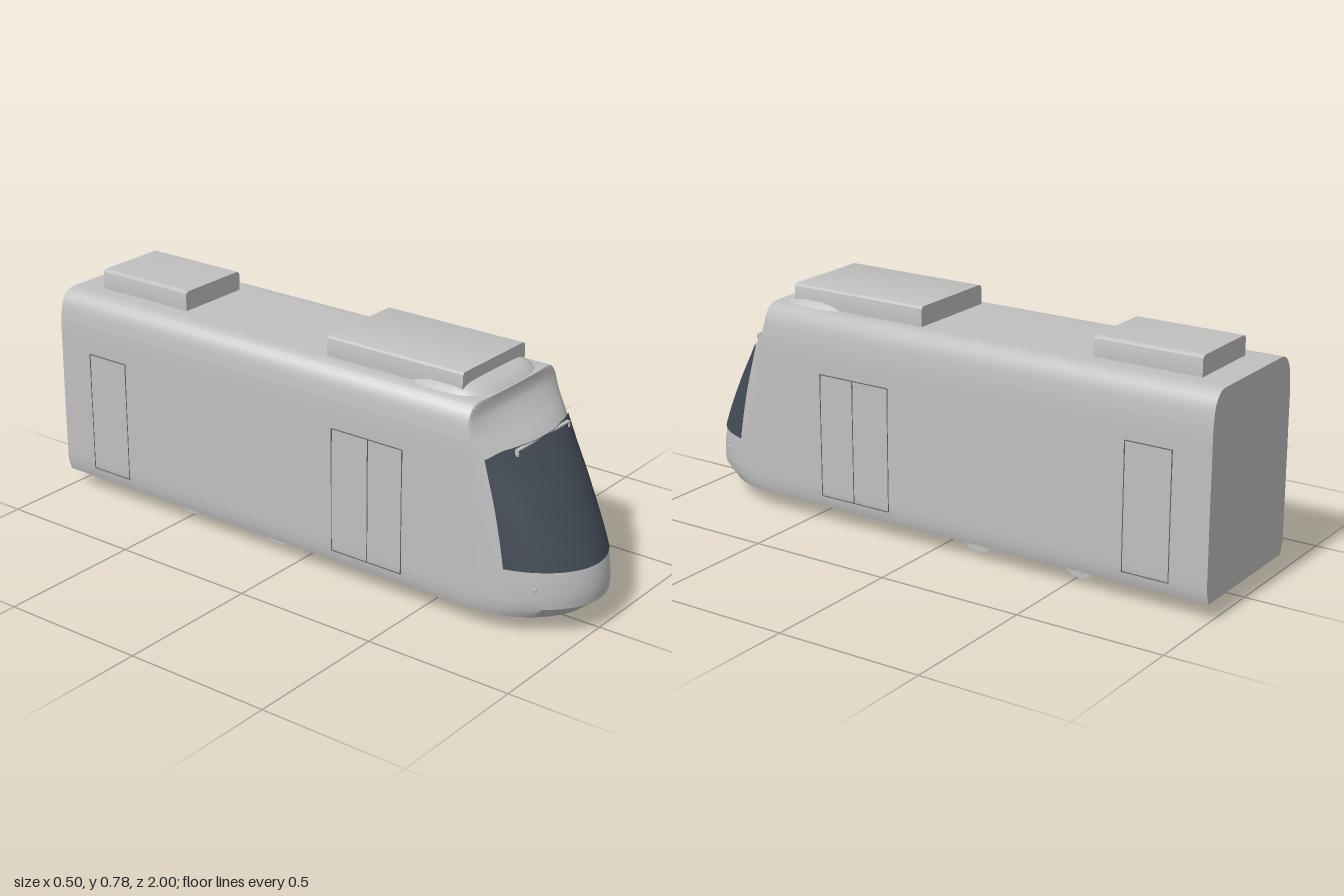
import * as THREE from 'three';
import { toCreasedNormals } from 'three/addons/utils/BufferGeometryUtils.js';

const paint = (name, color) => Object.assign(new THREE.MeshStandardMaterial({ color }), { name });

// Closed skin through horizontal rings, listed from bottom to top
function loft(rings, crease) {
  const n = rings[0].length, pos = rings.flat().flatMap(p => [p.x, p.y, p.z]), idx = [];
  for (let i = 0; i < rings.length - 1; i++)
    for (let j = 0; j < n; j++) {
      const k = (j + 1) % n, a = i * n + j, b = i * n + k;
      idx.push(a, a + n, b + n, a, b + n, b);
    }
  const last = (rings.length - 1) * n, centre = rings.length * n;
  for (const ring of [rings[0], rings.at(-1)]) {
    const c = ring.reduce((s, p) => s.add(p), new THREE.Vector3()).divideScalar(n);
    pos.push(c.x, c.y, c.z);
  }
  for (let j = 0; j < n; j++) {
    const k = (j + 1) % n;
    idx.push(centre, j, k, centre + 1, last + k, last + j);
  }
  const g = new THREE.BufferGeometry();
  g.setAttribute('position', new THREE.Float32BufferAttribute(pos, 3));
  g.setIndex(idx);
  return toCreasedNormals(g, crease);
}

// Half width, height and nose position of the shell
const profile = [
  new THREE.Vector3(0.235, 0.06, 0.95),
  ...new THREE.CatmullRomCurve3([
    [0.247, 0.1, 0.998], [0.248, 0.14, 1], [0.248, 0.22, 0.983], [0.248, 0.4, 0.895],
    [0.247, 0.5, 0.83], [0.247, 0.58, 0.769], [0.244, 0.63, 0.715], [0.235, 0.675, 0.677],
    [0.222, 0.697, 0.671], [0.205, 0.711, 0.67], [0.19, 0.716, 0.67],
  ].map(p => new THREE.Vector3(...p))).getPoints(40),
  new THREE.Vector3(0.17, 0.717, 0.655),
];
const NOSE_START = 0.66;

function section(y) {
  const i = Math.max(1, profile.findIndex(p => p.y >= y));
  const a = profile[i - 1], b = profile[i];
  return a.clone().lerp(b, (y - a.y) / (b.y - a.y));
}
function noseZ(x, y) {
  const s = section(y);
  return NOSE_START + (s.z - NOSE_START) * Math.sqrt(Math.max(0, 1 - (x / s.x) ** 2));
}

function shellGeometry() {
  const rings = profile.map(({ x: w, y, z }) => {
    const start = Math.min(NOSE_START, z - 0.005), ring = [new THREE.Vector3(w, y, -1)];
    for (let j = 0; j <= 48; j++) {
      const t = Math.PI * j / 48;
      ring.push(new THREE.Vector3(w * Math.cos(t), y, start + (z - start) * Math.sin(t)));
    }
    ring.push(new THREE.Vector3(-w, y, -1));
    return ring;
  });
  return loft(rings, 0.55);
}

// Curved sheet following the nose, with softly dropped upper corners
function windscreenGeometry() {
  const g = new THREE.PlaneGeometry(2, 1, 40, 24), p = g.attributes.position;
  for (let i = 0; i < p.count; i++) {
    const u = p.getX(i), x = u * 0.228;
    const top = 0.578 - 0.02 * (Math.max(0, Math.abs(x) - 0.16) / 0.068) ** 2;
    const bottom = 0.218 + 0.006 * u * u;
    const y = bottom + (top - bottom) * (p.getY(i) + 0.5);
    p.setXYZ(i, x, y, noseZ(x, y) + 0.006);
  }
  g.computeVertexNormals();
  return g;
}

// Roof box with rounded long edges
function podGeometry(halfWidth, length) {
  const h = 0.068, r = 0.016, s = new THREE.Shape();
  s.moveTo(-halfWidth, 0);
  s.lineTo(halfWidth, 0);
  s.lineTo(halfWidth, h - r);
  s.quadraticCurveTo(halfWidth, h, halfWidth - r, h);
  s.lineTo(-halfWidth + r, h);
  s.quadraticCurveTo(-halfWidth, h, -halfWidth, h - r);
  return toCreasedNormals(new THREE.ExtrudeGeometry(s, { depth: length, bevelEnabled: false, curveSegments: 8 }), 0.6);
}

// Low fairing swelling out of the roof
function fairingGeometry() {
  const layers = [[0.712, 0.19, 0.35, 0.668], [0.722, 0.183, 0.37, 0.66], [0.734, 0.17, 0.4, 0.635],
    [0.742, 0.155, 0.43, 0.61], [0.745, 0.135, 0.46, 0.585]];
  const pow = v => Math.sign(v) * Math.abs(v) ** 0.6;
  return loft(layers.map(([y, w, z0, z1]) => Array.from({ length: 48 }, (_, j) => {
    const t = Math.PI * 2 * j / 48;
    return new THREE.Vector3(w * pow(Math.cos(t)), y, (z0 + z1) / 2 + (z1 - z0) / 2 * pow(Math.sin(t)));
  })), 0.8);
}

export function createModel() {
  const model = new THREE.Group();
  const grey = paint('body grey', 0xc0c0c0);
  const glass = paint('dark glass', 0x444c57);
  const dark = paint('seam grey', 0x62666a);
  const add = (name, geometry, material, x = 0, y = 0, z = 0, parent = model) => {
    const m = new THREE.Mesh(geometry, material);
    m.name = name;
    m.position.set(x, y, z);
    parent.add(m);
    return m;
  };

  add('bodyShell', shellGeometry(), grey);
  add('windscreen', windscreenGeometry(), glass);

  // Roof equipment
  add('roofFairing', fairingGeometry(), grey);
  add('frontRoofPod', podGeometry(0.167, 0.51), grey, 0, 0.715, 0.08);
  add('rearRoofPod', podGeometry(0.134, 0.37), grey, 0, 0.715, -0.9);

  // Display frame above the windscreen
  const frame = new THREE.Group();
  frame.name = 'displayFrame';
  model.add(frame);
  add('displayBox', new THREE.BoxGeometry(0.278, 0.018, 0.03), glass, 0, 0.567, 0.758, frame);
  add('frameTop', new THREE.BoxGeometry(0.288, 0.005, 0.012), grey, 0, 0.574, 0.772, frame);
  for (const s of [-1, 1])
    add('frameEnd', new THREE.BoxGeometry(0.005, 0.018, 0.012), grey, s * 0.1415, 0.565, 0.772, frame);

  // Marker lamps and door seams on both sides
  for (const s of [-1, 1]) {
    const lamp = add('markerLamp', new THREE.SphereGeometry(1, 16, 12), grey, s * 0.187, 0.165, noseZ(0.187, 0.165));
    lamp.scale.set(0.005, 0.007, 0.005);
    for (const [name, z0, z1, seams] of [['frontDoor', 0.16, 0.43, [0.16, 0.3, 0.43]], ['rearDoor', -0.87, -0.71, [-0.87, -0.71]]]) {
      const door = new THREE.Group();
      door.name = name;
      model.add(door);
      for (const y of [0.102, 0.52])
        add('doorSeam', new THREE.BoxGeometry(0.004, 0.003, z1 - z0), dark, s * 0.2468, y, (z0 + z1) / 2, door);
      for (const z of seams)
        add('doorSeam', new THREE.BoxGeometry(0.004, 0.418, 0.003), dark, s * 0.2468, 0.311, z, door);
    }
  }

  // Flanged wheels and axles
  const rod = (r, l, n = 40) => new THREE.CylinderGeometry(r, r, l, n).rotateZ(Math.PI / 2);
  for (const z of [-0.13, -0.51]) {
    const set = new THREE.Group();
    set.name = 'wheelSet';
    set.position.set(0, 0.062, z);
    model.add(set);
    add('axle', rod(0.007, 0.3, 12), grey, 0, 0, 0, set);
    for (const s of [-1, 1]) {
      add('wheelTread', rod(0.054, 0.022), grey, s * 0.159, 0, 0, set);
      add('wheelFlange', rod(0.062, 0.008), grey, s * 0.152, 0, 0, set);
    }
  }
  return model;
}
